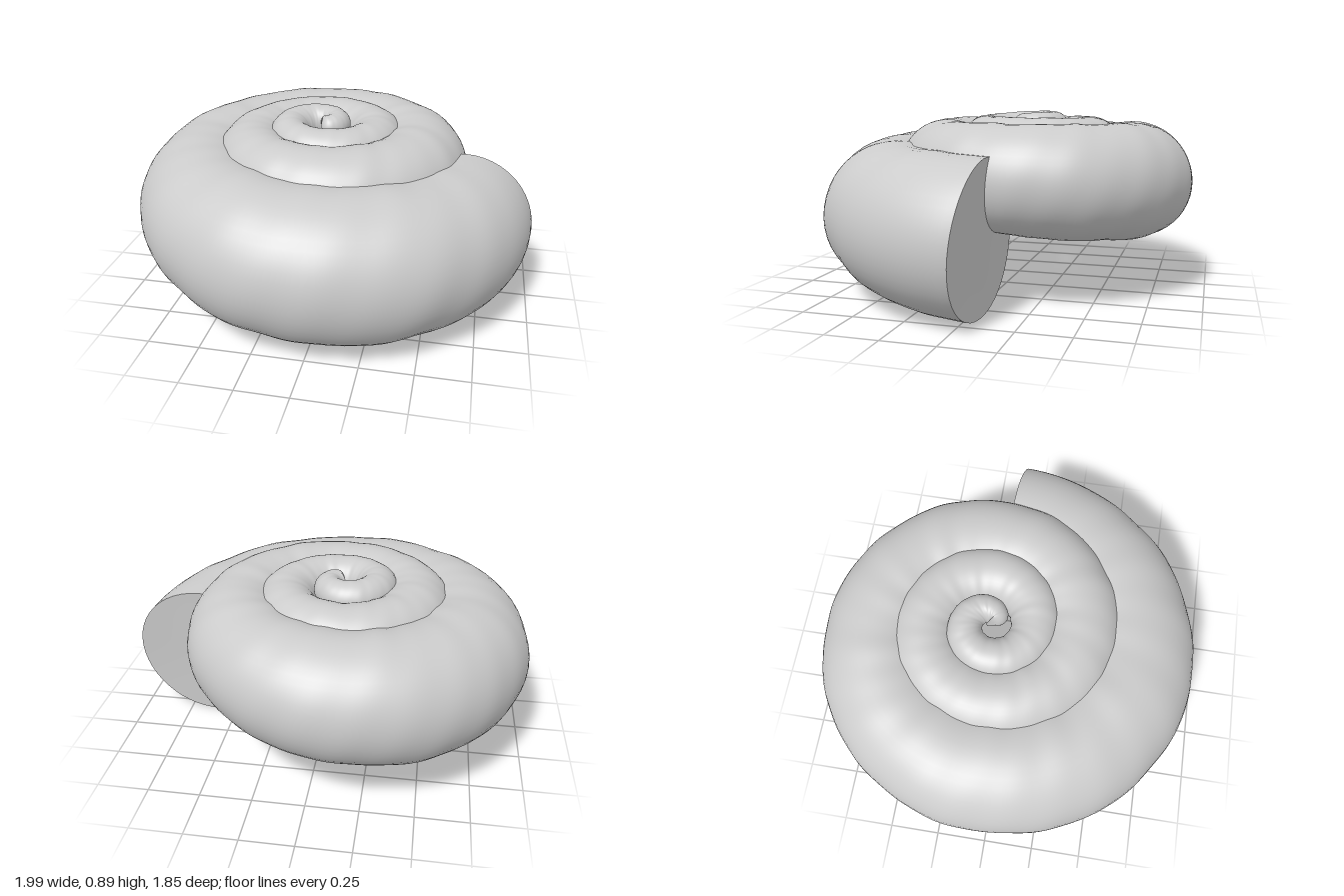
import * as THREE from 'three';

const AXIS = { x: -0.09, z: -0.1 };   // vertical axis the shell coils around
const TURNS = 3.25, RINGS = 480, SIDES = 48;

// One entry per quarter turn from the mouth inwards:
// outer distance from the axis, tube radius, height of the tube's top
const growth = new THREE.CatmullRomCurve3([
  [1.085, 0.36, 0.72], [1.02, 0.355, 0.77], [0.90, 0.32, 0.81], [0.82, 0.285, 0.84],
  [0.735, 0.25, 0.85], [0.62, 0.215, 0.855], [0.52, 0.185, 0.86], [0.475, 0.165, 0.865],
  [0.41, 0.14, 0.87], [0.32, 0.115, 0.875], [0.25, 0.095, 0.89], [0.19, 0.08, 0.89],
  [0.13, 0.065, 0.885], [0.07, 0.05, 0.875],
].map((p) => new THREE.Vector3(...p)), false, 'catmullrom');

// Point on the coiled tube: t in turns from the mouth, v around the tube
function shellPoint(t, v) {
  const g = growth.getPoint(t / TURNS);
  const centre = g.x - g.y, height = g.z - g.y;
  // rounded closing of the innermost tip
  const tip = Math.max(0, (t - TURNS + 0.12) / 0.12);
  // shallow growth folds across the whorl
  const fold = 0.007 * Math.sin(t * 50 + Math.sin(v * 2 + t * 3))
    + 0.006 * Math.sin(t * 87 + 2 * Math.sin(v + t * 5)) + 0.003 * Math.sin(t * 151 + 3 * v);
  const r = g.y * Math.sqrt(Math.max(0, 1 - tip * tip)) * (1 + fold * Math.min(1, t * 12));
  const rho = centre + r * Math.cos(v);
  // the mouth leans slightly
  const angle = t * Math.PI * 2 + 0.03 + 0.02 * Math.cos(v) - 0.03 * Math.sin(v);
  return [AXIS.x + rho * Math.cos(angle), height + r * Math.sin(v), AXIS.z + rho * Math.sin(angle)];
}

function surface(positions, index) {
  const geo = new THREE.BufferGeometry();
  geo.setAttribute('position', new THREE.Float32BufferAttribute(positions, 3));
  geo.setIndex(index);
  geo.computeVertexNormals();
  return geo;
}

function whorlGeometry() {
  const positions = [], index = [];
  for (let i = 0; i <= RINGS; i++) {
    for (let j = 0; j < SIDES; j++) {
      positions.push(...shellPoint(TURNS * i / RINGS, j / SIDES * Math.PI * 2));
      if (i === RINGS) continue;
      const a = i * SIDES + j, b = i * SIDES + (j + 1) % SIDES;
      index.push(a, b, a + SIDES, b, b + SIDES, a + SIDES);
    }
  }
  return surface(positions, index);
}

// Flat disc that closes the mouth
function mouthGeometry() {
  const a = shellPoint(0, 0), b = shellPoint(0, Math.PI);
  const positions = a.map((n, k) => (n + b[k]) / 2), index = [];
  for (let j = 0; j < SIDES; j++) {
    positions.push(...shellPoint(0, j / SIDES * Math.PI * 2));
    index.push(0, 1 + (j + 1) % SIDES, 1 + j);
  }
  return surface(positions, index);
}

export function createModel() {
  const group = new THREE.Group();
  group.name = 'snailShell';
  const material = new THREE.MeshStandardMaterial({ color: 0xcccccc });
  const parts = { spiralWhorls: whorlGeometry(), mouthFace: mouthGeometry() };
  for (const [name, geometry] of Object.entries(parts)) {
    const mesh = new THREE.Mesh(geometry, material);
    mesh.name = name;
    group.add(mesh);
  }
  return group;
}
